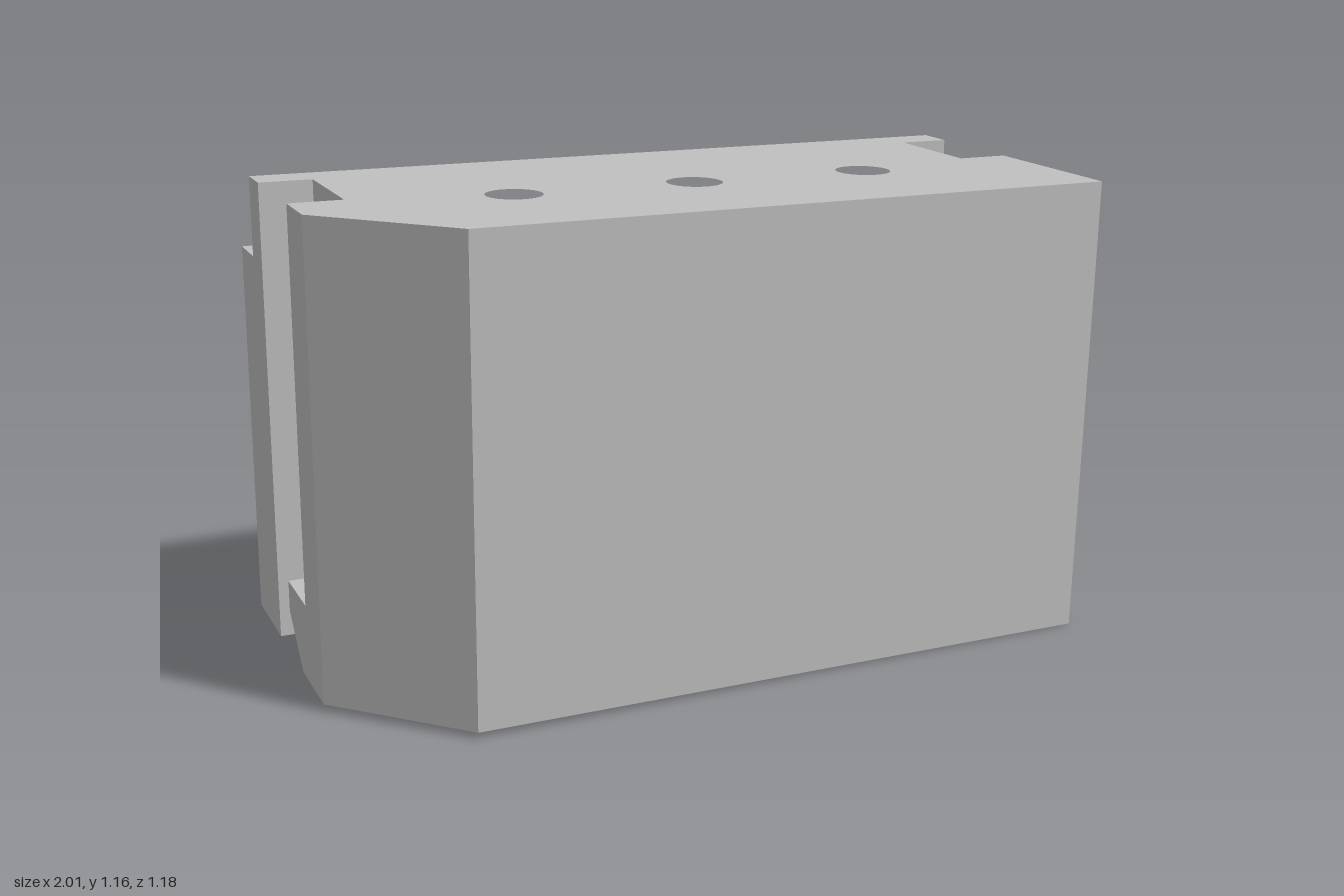
import * as THREE from 'three';

// Closed solid through stacked outlines; each layer is { y, pts: [[x, z], ...] }
function loft(layers) {
  const flat = layers.map(l => l.pts.map(([x, z]) => new THREE.Vector2(x, -z)));
  if (THREE.ShapeUtils.isClockWise(flat[0])) flat.forEach(p => p.reverse());
  const pos = [];
  const put = (k, i) => pos.push(flat[k][i].x, layers[k].y, -flat[k][i].y);
  const n = flat[0].length, last = layers.length - 1;
  for (let k = 0; k < last; k++) {
    for (let i = 0; i < n; i++) {
      const j = (i + 1) % n;
      put(k, i); put(k, j); put(k + 1, j);
      put(k, i); put(k + 1, j); put(k + 1, i);
    }
  }
  for (const [a, b, c] of THREE.ShapeUtils.triangulateShape(flat[0], [])) {
    put(0, a); put(0, c); put(0, b);
  }
  for (const [a, b, c] of THREE.ShapeUtils.triangulateShape(flat[last], [])) {
    put(last, a); put(last, b); put(last, c);
  }
  const g = new THREE.BufferGeometry();
  g.setAttribute('position', new THREE.Float32BufferAttribute(pos, 3));
  g.computeVertexNormals();
  return g;
}

// Slab between two heights, pierced by round holes
function slab(pts, holes, y0, y1) {
  const shape = new THREE.Shape(pts.map(([x, z]) => new THREE.Vector2(x, -z)));
  for (const [x, z, r] of holes) {
    shape.holes.push(new THREE.Path().absarc(x, -z, r, 0, Math.PI * 2, true));
  }
  const g = new THREE.ExtrudeGeometry(shape, { depth: y1 - y0, bevelEnabled: false, curveSegments: 32 });
  return g.rotateX(-Math.PI / 2).translate(0, y0, 0);
}

export function createModel() {
  const grey = new THREE.MeshStandardMaterial({ color: 0xc0c0c0 });
  grey.name = 'grey plastic';
  const body = new THREE.Group();
  body.name = 'body';
  const add = (name, geometry) => {
    const mesh = new THREE.Mesh(geometry, grey);
    mesh.name = name;
    body.add(mesh);
    return mesh;
  };

  const W = 0.932, S = 0.803;            // half width, slot floor
  const front = 0.478, back = -0.44, step = -0.315;
  const ceiling = 0.76, shelf = 0.945, top = 1.138, lead = 0.065;

  // Top block with a slot at each end and three holes
  const holes = [-0.43, 0.02, 0.474].map(x => [x, 0.135, 0.067]);
  const plan = rear => [
    [-W, rear], [W, rear], [W, -0.22], [S, -0.22], [S, 0.063], [W, 0.063],
    [W, front], [-0.653, front], [-W, 0.202], [-W, 0.063], [-S, 0.063], [-S, -0.22], [-W, -0.22],
  ];
  add('topBlockLower', slab(plan(back), holes, ceiling, shelf));
  add('topBlockUpper', slab(plan(step), holes, shelf, top));

  // Front shell, flared inside along its bottom edge
  const shell = (endZ, cornerX, wallZ) => [
    [W, front], [W, 0.063], [S, 0.063], [S, endZ], [cornerX, wallZ],
    [-cornerX, wallZ], [-S, endZ], [-S, 0.063], [-W, 0.063], [-W, 0.202], [-0.653, front],
  ];
  const inner = shell(-0.027, 0.43, 0.345);
  add('frontShell', loft([
    { y: 0, pts: shell(0.068, 0.56, 0.405) },
    { y: lead, pts: inner },
    { y: ceiling, pts: inner },
  ]));

  // Back wall with thicker ends
  const wall = z => [
    [-W, back], [W, back], [W, -0.22], [0.79, -0.22], [0.79, z],
    [-0.79, z], [-0.79, -0.22], [-W, -0.22],
  ];
  add('backWall', loft([
    { y: 0, pts: wall(-0.37) },
    { y: lead, pts: wall(-0.312) },
    { y: ceiling, pts: wall(-0.312) },
  ]));

  for (const side of [-1, 1]) {
    // Inner guide ribs
    const x = side * 0.2;
    const rib = [[x - 0.07, 0.35], [x, 0.275], [x + 0.07, 0.35]];
    add('guideRib', loft([{ y: 0.08, pts: rib }, { y: ceiling, pts: rib }]));

    // Chamfered hook at the foot of each slot
    const hook = new THREE.Shape([
      [0.063, 0], [0.063, 0.19], [-0.105, 0.19], [-0.105, 0.112], [0.01, 0],
    ].map(([z, y]) => new THREE.Vector2(-z, y)));
    const g = new THREE.ExtrudeGeometry(hook, { depth: W - S, bevelEnabled: false });
    g.rotateY(Math.PI / 2).translate(side > 0 ? S : -W, 0, 0);
    add('slotHook', g);
  }

  // Turned and very slightly tilted stance
  body.rotation.y = 0.1735;
  const model = new THREE.Group();
  model.name = 'slottedHousing';
  model.add(body);
  model.rotation.z = -0.0095;
  model.position.set(-0.008, 0.0095, 0.005);
  const root = new THREE.Group();
  root.add(model);
  return root;
}
